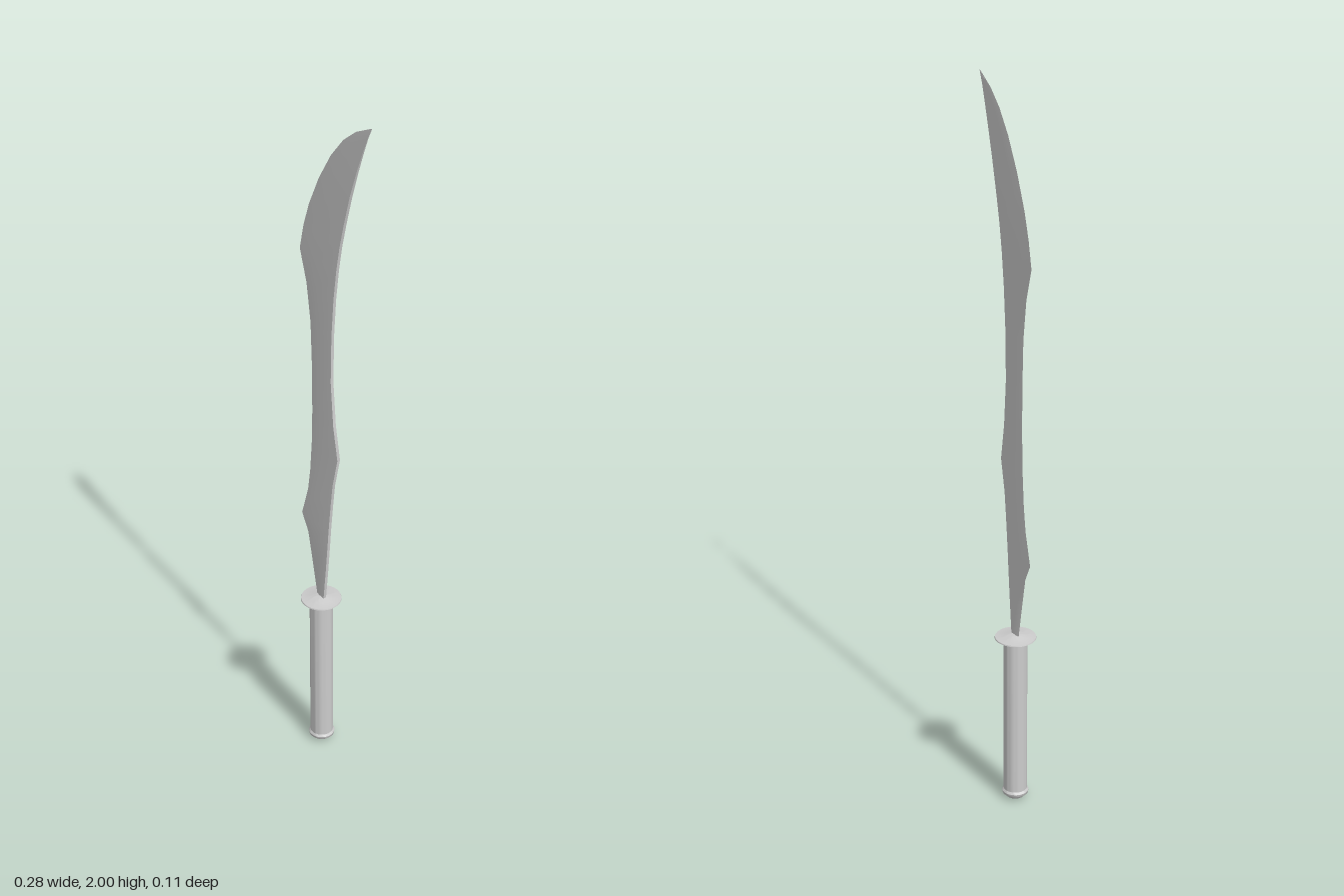
import * as THREE from 'three';
import { toCreasedNormals } from 'three/addons/utils/BufferGeometryUtils.js';

const AXIS_X = -0.06; // the hilt sits off centre, below the curved blade

// Blade stations: height, cutting edge x, spine x
const STATIONS = [
  [0.49, -0.075, -0.046], [0.60, -0.096, -0.035], [0.69, -0.114, -0.027],
  [0.74, -0.140, -0.023], [0.83, -0.114, -0.014], [0.90, -0.104, -0.006],
  [0.99, -0.097, 0.014], [1.09, -0.094, -0.003], [1.22, -0.094, -0.013],
  [1.36, -0.099, -0.010], [1.47, -0.114, -0.002], [1.56, -0.140, 0.009],
  [1.63, -0.125, 0.021], [1.70, -0.103, 0.037], [1.79, -0.063, 0.060],
  [1.87, -0.017, 0.085], [1.93, 0.030, 0.106], [1.97, 0.077, 0.121],
  [2.00, 0.133, 0.135],
];

// Loft of wedge sections: sharp on the left, flat spine on the right
function bladeGeometry() {
  const pos = [], index = [], n = 5;
  for (const [y, edge, spine] of STATIONS) {
    const w = spine - edge;
    const t = 0.0045 * Math.min(1, 0.1 + (2 - y) * 5);
    const mid = edge + w * 0.35;
    pos.push(edge, y, 0, mid, y, t * 0.8, spine, y, t, spine, y, -t, mid, y, -t * 0.8);
  }
  const rows = STATIONS.length;
  for (let i = 0; i < rows - 1; i++) {
    for (let j = 0; j < n; j++) {
      const a = i * n + j, b = i * n + (j + 1) % n;
      index.push(a, b, b + n, a, b + n, a + n);
    }
  }
  // end caps
  const top = (rows - 1) * n;
  for (let j = 1; j < n - 1; j++) {
    index.push(0, j + 1, j, top, top + j, top + j + 1);
  }
  const g = new THREE.BufferGeometry();
  g.setAttribute('position', new THREE.Float32BufferAttribute(pos, 3));
  g.setIndex(index);
  return toCreasedNormals(g, 0.5);
}

// Round part turned about the hilt axis, profile from bottom to top
function turned(name, profile, material) {
  const points = profile.map(([r, y]) => new THREE.Vector2(r, y));
  const mesh = new THREE.Mesh(toCreasedNormals(new THREE.LatheGeometry(points, 32), 0.7), material);
  mesh.name = name;
  mesh.position.x = AXIS_X;
  return mesh;
}

export function createModel() {
  const group = new THREE.Group();
  group.name = 'curvedSword';
  const material = new THREE.MeshStandardMaterial({ color: 0xcccccc });

  const blade = new THREE.Mesh(bladeGeometry(), material);
  blade.name = 'blade';
  group.add(blade);

  // thin disc guard, slightly domed towards the blade
  group.add(turned('guard', [
    [0, 0.491], [0.05, 0.491], [0.056, 0.494], [0.055, 0.497], [0.03, 0.499], [0.018, 0.503], [0, 0.504],
  ], material));

  group.add(turned('grip', [[0, 0.02], [0.032, 0.02], [0.032, 0.493], [0, 0.493]], material));

  // flared pommel with a chamfered base
  group.add(turned('pommel', [
    [0, 0], [0.012, 0.001], [0.024, 0.005], [0.035, 0.016], [0.036, 0.023], [0.032, 0.029], [0, 0.029],
  ], material));

  return group;
}
